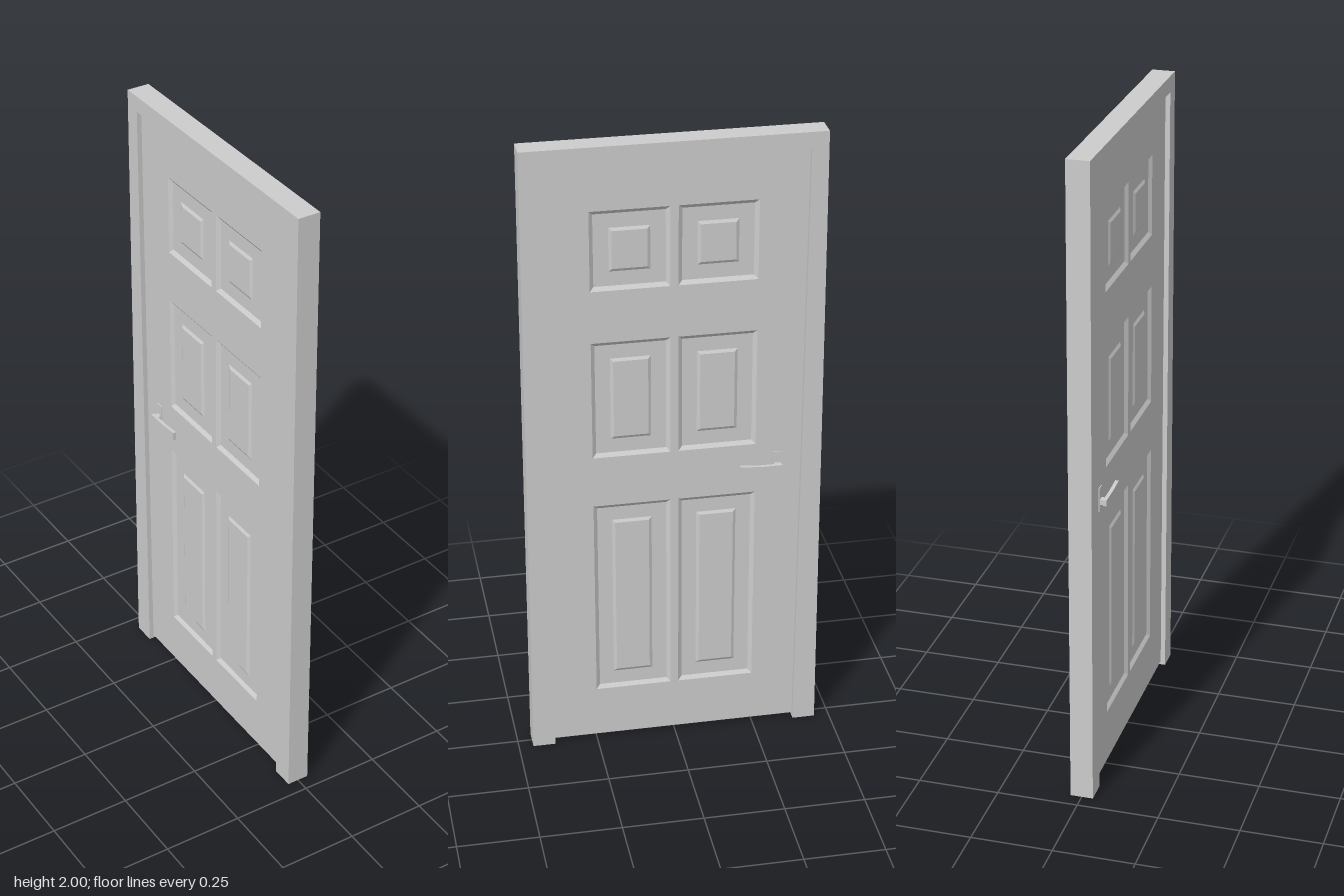
import * as THREE from 'three';

const FACE = 0.02; // half thickness of the door leaf
const JAMB = 0.035; // half thickness of the frame

// Panel rows [bottom, top]; columns mirror about the centre line
const ROWS = [[0.18, 0.84], [1.005, 1.385], [1.55, 1.8]];
const COL = 0.13, PANEL_W = 0.236;

const polygon = (pts) => new THREE.Shape(pts.map(([x, y]) => new THREE.Vector2(x, y)));

// Extrude a shape between two depths
function slab(shape, z0, z1) {
  const g = new THREE.ExtrudeGeometry(shape, { depth: z1 - z0, bevelEnabled: false });
  return g.translate(0, 0, z0);
}

// Sunken moulding with a raised field, from nested rectangles [inset, depth]
function panelGeometry(w, h) {
  const rings = [[0, FACE], [0.012, 0.011], [0.057, 0.011], [0.066, 0.016]];
  const pos = [], idx = [];
  for (const [inset, z] of rings) {
    const a = w / 2 - inset, b = h / 2 - inset;
    pos.push(-a, -b, z, a, -b, z, a, b, z, -a, b, z);
  }
  for (let r = 0; r < rings.length - 1; r++) {
    for (let i = 0; i < 4; i++) {
      const a = r * 4 + i, b = r * 4 + (i + 1) % 4;
      idx.push(a, b, b + 4, a, b + 4, a + 4);
    }
  }
  const c = (rings.length - 1) * 4;
  idx.push(c, c + 1, c + 2, c, c + 2, c + 3);
  const g = new THREE.BufferGeometry();
  g.setAttribute('position', new THREE.Float32BufferAttribute(pos, 3));
  g.setIndex(idx);
  const flat = g.toNonIndexed();
  flat.computeVertexNormals();
  return flat;
}

export function createModel() {
  const paint = new THREE.MeshStandardMaterial({ color: 0xcccccc });
  paint.name = 'light grey';
  const model = new THREE.Group();
  model.name = 'panelledDoor';

  const add = (parent, name, geometry) => {
    const mesh = new THREE.Mesh(geometry, paint);
    mesh.name = name;
    parent.add(mesh);
    return mesh;
  };

  // Frame: inverted U whose jambs widen slightly towards the floor
  const frame = polygon([
    [-0.455, 0], [-0.385, 0], [-0.394, 1.95], [0.394, 1.95],
    [0.382, 0], [0.453, 0], [0.444, 2], [-0.446, 2],
  ]);
  add(model, 'doorFrame', slab(frame, -JAMB, JAMB)).rotation.y = Math.PI / 2;

  // Leaf with six openings for the panels
  const leaf = polygon([[-0.386, 0.012], [0.383, 0.012], [0.394, 1.95], [-0.394, 1.95]]);
  for (const side of [-1, 1]) {
    for (const [y0, y1] of ROWS) {
      const l = side * COL - PANEL_W / 2, r = l + PANEL_W;
      leaf.holes.push(polygon([[l, y0], [l, y1], [r, y1], [r, y0]]));
    }
  }
  add(model, 'doorLeaf', slab(leaf, -FACE, FACE)).rotation.y = Math.PI / 2;

  // Each face carries its own panels and lever handle
  for (const dir of [1, -1]) {
    const face = new THREE.Group();
    face.name = dir > 0 ? 'leftFace' : 'rightFace';
    face.rotation.y = dir * Math.PI / 2;
    model.add(face);

    for (const side of [-1, 1]) {
      for (const [y0, y1] of ROWS) {
        const panel = add(face, 'panel', panelGeometry(PANEL_W, y1 - y0));
        panel.position.set(side * COL, (y0 + y1) / 2, 0);
      }
    }

    const handle = new THREE.Group();
    handle.name = 'handle';
    face.add(handle);

    // Lever: broad grip narrowing towards the stem
    const outline = [[0.198, 0.915], [0.26, 0.919], [0.328, 0.919],
      [0.328, 0.937], [0.26, 0.937], [0.198, 0.942]];
    const pts = outline.map(([x, y]) => [x * dir, y]);
    if (dir < 0) pts.reverse();
    add(handle, 'lever', slab(polygon(pts), 0.033, 0.044));

    const stem = add(handle, 'stem', new THREE.BoxGeometry(0.02, 0.016, 0.02));
    stem.position.set(dir * 0.315, 0.928, 0.027);
    const plate = add(handle, 'backPlate', new THREE.BoxGeometry(0.026, 0.075, 0.004));
    plate.position.set(dir * 0.315, 0.935, FACE + 0.001);
  }
  return model;
}
